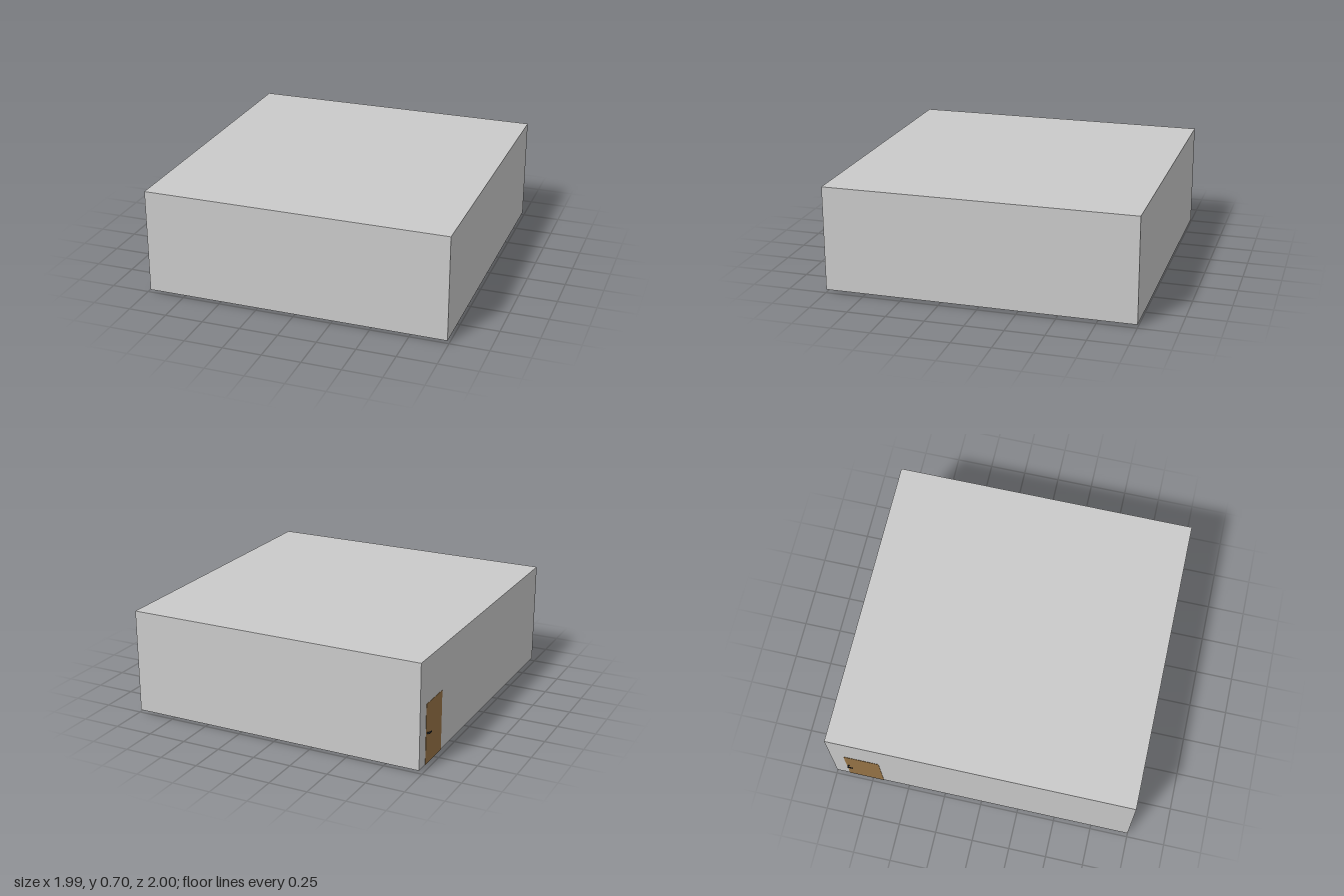
import * as THREE from 'three';

const mat = (name, color) => {
  const m = new THREE.MeshStandardMaterial({ color });
  m.name = name;
  return m;
};

export function createModel() {
  const outer = mat('outerGrey', 0xcacaca);
  const inner = mat('innerCream', 0xcccab5);
  const ceilingGrey = mat('ceilingGrey', 0x7a7876);
  const wood = mat('wood', 0x977446);
  const metal = mat('darkMetal', 0x2a2a2a);
  const plastic = mat('greyPlastic', 0x7c7a79);

  const room = new THREE.Group();
  room.name = 'classroom';

  // Box given by its minimum and maximum corners
  const box = (parent, name, material, [x0, y0, z0], [x1, y1, z1]) => {
    const mesh = new THREE.Mesh(new THREE.BoxGeometry(x1 - x0, y1 - y0, z1 - z0), material);
    mesh.position.set((x0 + x1) / 2, (y0 + y1) / 2, (z0 + z1) / 2);
    mesh.name = name;
    parent.add(mesh);
    return mesh;
  };
  const group = (name) => {
    const g = new THREE.Group();
    g.name = name;
    room.add(g);
    return g;
  };

  // Walls: a grey skin outside and a cream lining inside, open at the bottom
  const X0 = -0.98, X1 = 0.99, Z0 = -1, Z1 = 1, FLOOR = 0.018, TOP = 0.7, T = 0.005;
  const shell = (label, material, inset, top) => {
    const a = X0 + inset, b = X1 - inset, c = Z0 + inset, d = Z1 - inset;
    box(room, label + 'FrontWall', material, [a, FLOOR, d - T], [b, top, d]);
    box(room, label + 'BackWall', material, [a, FLOOR, c], [b, top, c + T]);
    box(room, label + 'LeftWall', material, [b - T, FLOOR, c + T], [b, top, d - T]);
    box(room, label + 'RightWall', material, [a, FLOOR, c + T], [a + T, top, d - T]);
  };
  shell('outer', outer, 0, TOP - T);
  shell('inner', inner, T, TOP - 2 * T);
  box(room, 'roof', outer, [X0, TOP - T, Z0], [X1, TOP, Z1]);
  box(room, 'ceiling', ceilingGrey, [X0 + T, TOP - 2 * T, Z0 + T], [X1 - T, TOP - T, Z1 - T]);

  // Door showing on both sides of the wall, with a lever handle on each
  const door = group('door');
  box(door, 'doorLeaf', wood, [X0 - 0.002, FLOOR, -0.91], [X0 + 2 * T + 0.002, 0.41, -0.675]);
  for (const [face, s] of [[X0, -1], [X0 + 2 * T, 1]]) {
    const span = (a, b) => [face + s * a, face + s * b].sort((p, q) => p - q);
    const [s0, s1] = span(0, 0.02), [l0, l1] = span(0.014, 0.02);
    box(door, 'handleStem', metal, [s0, 0.217, -0.9], [s1, 0.226, -0.892]);
    box(door, 'handleLever', metal, [l0, 0.217, -0.9], [l1, 0.226, -0.865]);
  }

  // Long desk rows: top, upright legs and a panel along the back
  const LEGS = [0.68, 0.31, -0.2, -0.63];
  const deskRow = (z) => {
    const g = group('deskRow');
    box(g, 'deskTop', wood, [-0.645, 0.168, z - 0.005], [0.695, 0.18, z + 0.2]);
    for (const x of LEGS) box(g, 'deskLeg', wood, [x - 0.006, 0, z], [x + 0.006, 0.168, z + 0.188]);
    for (let i = 0; i < LEGS.length - 1; i++) {
      box(g, 'backPanel', wood, [LEGS[i + 1] + 0.006, 0.045, z], [LEGS[i] - 0.006, 0.168, z + 0.01]);
    }
  };
  deskRow(-0.48);
  deskRow(0.24);

  // Small desks: one beside the door wall, one turned against the opposite wall
  const smallA = group('smallDesk');
  box(smallA, 'deskTop', wood, [-0.92, 0.168, 0.765], [-0.61, 0.18, 0.93]);
  for (const x of [-0.9, -0.625]) box(smallA, 'deskLeg', wood, [x - 0.006, 0.004, 0.775], [x + 0.006, 0.168, 0.918]);

  const smallB = group('turnedDesk');
  box(smallB, 'deskTop', wood, [0.745, 0.168, 0.66], [0.955, 0.18, 0.975]);
  for (const z of [0.68, 0.955]) box(smallB, 'deskLeg', wood, [0.76, 0.012, z - 0.006], [0.945, 0.168, z + 0.006]);

  // Monitors standing on the desk rows, screens towards the front
  const monitor = (x, z, top) => {
    const g = group('monitor');
    box(g, 'monitorCase', plastic, [x - 0.088, 0.205, z - 0.008], [x + 0.088, top, z + 0.008]);
    box(g, 'screen', metal, [x - 0.08, 0.213, z + 0.008], [x + 0.08, top - 0.008, z + 0.01]);
    box(g, 'monitorNeck', plastic, [x - 0.012, 0.18, z - 0.006], [x + 0.012, 0.205, z + 0.006]);
    box(g, 'monitorFoot', plastic, [x - 0.04, 0.18, z - 0.03], [x + 0.04, 0.186, z + 0.03]);
  };
  monitor(0.475, -0.4, 0.345);
  monitor(0.045, 0.32, 0.32);

  return room;
}
